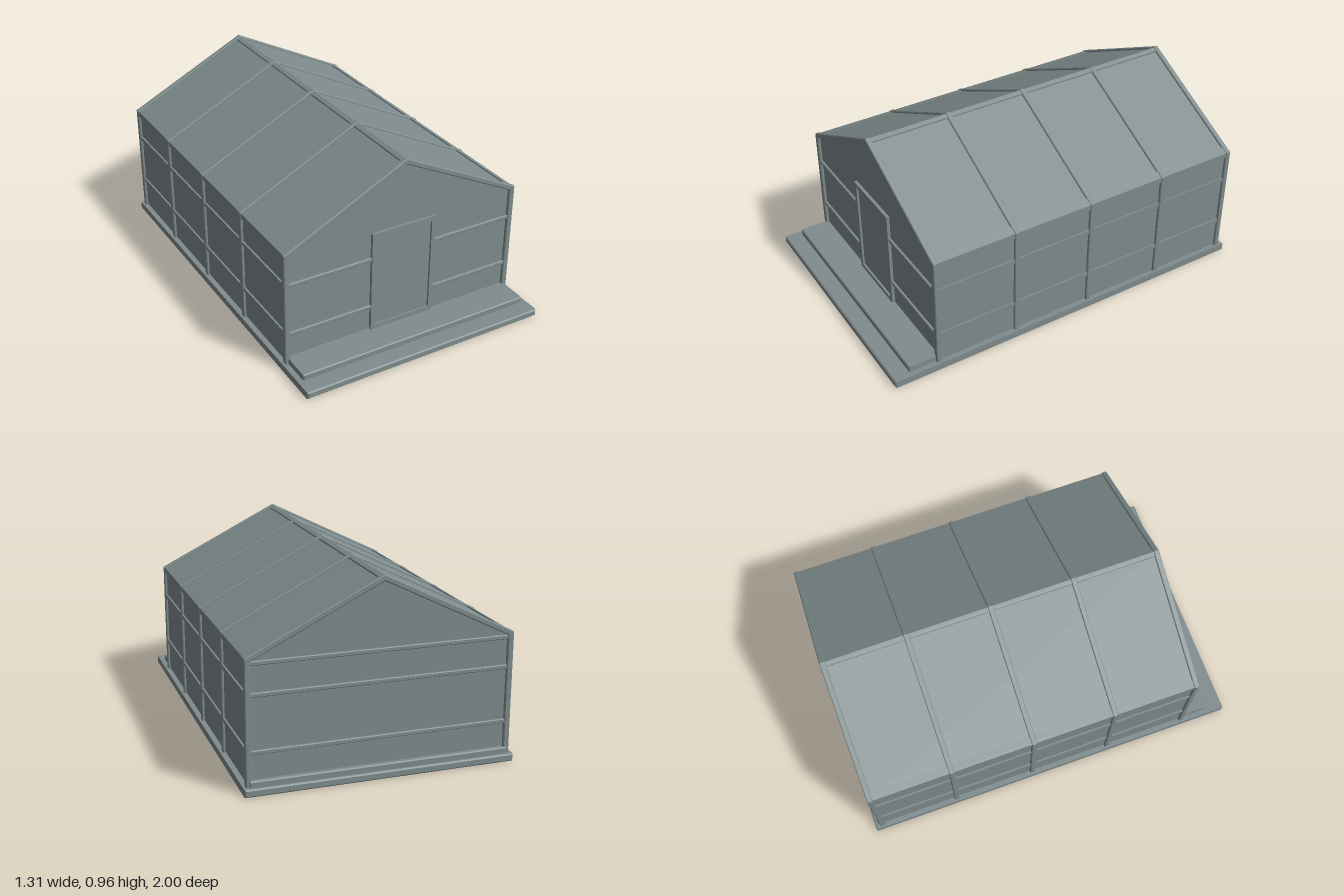
import * as THREE from 'three';

export function createModel() {
  const model = new THREE.Group();
  model.name = 'shed';
  const steel = new THREE.MeshStandardMaterial({ color: 0x7f8c8d });
  steel.name = 'grey steel';

  // Extrude an x-y outline from z0 to z1, with chamfered edges inside the outline
  function prism(name, shape, z0, z1, c = 0) {
    const geo = new THREE.ExtrudeGeometry(shape, {
      depth: z1 - z0 - 2 * c, bevelEnabled: c > 0, bevelThickness: c,
      bevelSize: c, bevelOffset: -c, bevelSegments: 1, steps: 1,
    });
    geo.translate(0, 0, z0 + c);
    const mesh = new THREE.Mesh(geo, steel);
    mesh.name = name;
    model.add(mesh);
    return mesh;
  }
  const outline = (pts) => new THREE.Shape(pts.map(([x, y]) => new THREE.Vector2(x, y)));
  const rect = (x0, x1, y0, y1) => [[x0, y0], [x1, y0], [x1, y1], [x0, y1]];
  const bar = (name, x0, x1, y0, y1, z0, z1, c = 0.003) =>
    prism(name, outline(rect(x0, x1, y0, y1)), z0, z1, c);

  // Foundation slab and raised floor
  bar('foundation', -0.655, 0.655, 0, 0.037, -1, 1, 0.006);
  bar('floor', -0.628, 0.628, 0.03, 0.068, -0.985, 0.912, 0.005);

  // Wall and roof panels as one closed shell
  prism('panels', outline([
    [-0.63, 0.04], [0.63, 0.04], [0.63, 0.63], [0, 0.944], [-0.63, 0.63],
  ]), -0.96, 0.752);

  // Portal frames
  for (const z of [0.754, 0.318, -0.112, -0.542, -0.961]) {
    prism('portalFrame', outline([
      [-0.643, 0.03], [-0.614, 0.03], [-0.614, 0.62], [0, 0.926], [0.614, 0.62],
      [0.614, 0.03], [0.643, 0.03], [0.643, 0.635], [0, 0.956], [-0.643, 0.635],
    ]), z - 0.014, z + 0.014, 0.004);
  }

  // Ridge beam
  prism('ridgeBeam', outline([
    [-0.02, 0.92], [0.02, 0.92], [0.02, 0.942], [0, 0.952], [-0.02, 0.942],
  ]), -0.955, 0.75);

  // Side rails and eave beams
  for (const s of [-1, 1]) {
    const rail = (y0, y1) =>
      bar('sideRail', Math.min(s * 0.62, s * 0.639), Math.max(s * 0.62, s * 0.639), y0, y1, -0.955, 0.75);
    rail(0.193, 0.213);
    rail(0.458, 0.478);
    const pts = [[0.6, 0.605], [0.639, 0.605], [0.639, 0.633], [0.602, 0.651]].map(([x, y]) => [s * x, y]);
    prism('eaveBeam', outline(pts), -0.955, 0.75);
  }

  // Rails across the front, stopping at the door, and across the back
  for (const y of [0.187, 0.455]) {
    bar('frontRail', -0.618, -0.172, y, y + 0.02, 0.74, 0.764);
    bar('frontRail', 0.172, 0.618, y, y + 0.02, 0.74, 0.764);
  }
  for (const y of [0.187, 0.455, 0.6]) {
    bar('backRail', -0.618, 0.618, y, y + 0.02, -0.972, -0.95);
  }

  // Door frame and recessed door leaf
  const frame = outline(rect(-0.177, 0.177, 0.068, 0.605));
  frame.holes.push(new THREE.Path(rect(-0.155, 0.155, 0.09, 0.582)
    .reverse().map(([x, y]) => new THREE.Vector2(x, y))));
  prism('doorFrame', frame, 0.74, 0.768);
  bar('door', -0.156, 0.156, 0.089, 0.583, 0.74, 0.757, 0);

  return model;
}
